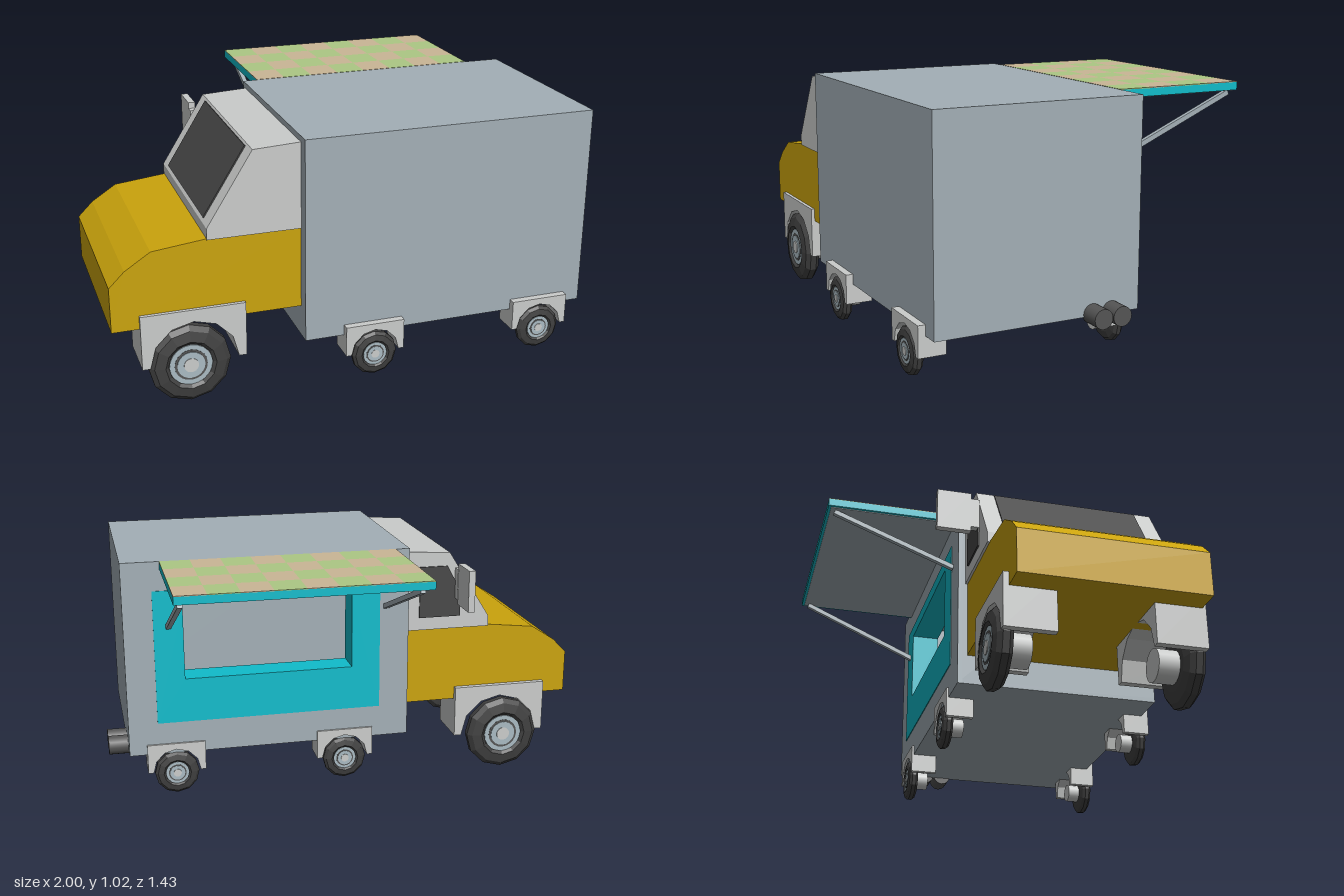
import * as THREE from 'three';

const mat = (name, color, extra = {}) => {
  const m = new THREE.MeshStandardMaterial({ color, ...extra });
  m.name = name;
  return m;
};

export function createModel() {
  const steel = mat('steel grey', 0xa3afb6);
  const light = mat('light grey', 0xcacccb);
  const yellow = mat('mustard yellow', 0xcaa30c);
  const glass = mat('dark glass', 0x484848);
  const metal = mat('dark metal', 0x555555);
  const rubber = mat('tyre rubber', 0x404040, { flatShading: true });
  const rim = mat('rim blue grey', 0xa9bac2);
  const teal = mat('teal', 0x10bccb);
  const green = mat('check green', 0xadc884);
  const tan = mat('check tan', 0xcab696);

  const model = new THREE.Group();
  model.name = 'foodTruck';

  const add = (name, geo, material, parent = model) => {
    const mesh = new THREE.Mesh(geo, material);
    mesh.name = name;
    parent.add(mesh);
    return mesh;
  };
  // Box given by its minimum and maximum corners
  const box = (name, a, b, material, parent) => {
    const g = new THREE.BoxGeometry(b[0] - a[0], b[1] - a[1], b[2] - a[2]);
    g.translate((a[0] + b[0]) / 2, (a[1] + b[1]) / 2, (a[2] + b[2]) / 2);
    return add(name, g, material, parent);
  };
  const toPoints = (pts) => pts.map((p) => new THREE.Vector2(...p));
  const rect = (x0, y0, x1, y1) => [[x0, y0], [x1, y0], [x1, y1], [x0, y1]];
  // Side profile (x, y) swept from z0 to z1, with an optional hole
  const sweep = (name, pts, z0, z1, material, hole) => {
    const shape = new THREE.Shape(toPoints(pts));
    if (hole) shape.holes.push(new THREE.Path(toPoints(hole)));
    const g = new THREE.ExtrudeGeometry(shape, { depth: z1 - z0, bevelEnabled: false });
    return add(name, g.translate(0, 0, z0), material);
  };

  // Hollow cargo body
  const [X0, X1, Y0, Y1, Z0, Z1, T] = [-0.265, 0.92, 0.205, 1.02, -0.165, 0.68, 0.02];
  box('bodyFloor', [X0, Y0, Z0 + T], [X1, Y0 + T, Z1], steel);
  box('bodyRoof', [X0, Y1 - T, Z0 + T], [X1, Y1, Z1], steel);
  box('bodyFrontWall', [X0, Y0 + T, Z0 + T], [X0 + T, Y1 - T, Z1], steel);
  box('bodyRearWall', [X1 - T, Y0 + T, Z0 + T], [X1, Y1 - T, Z1], steel);
  box('bodyClosedWall', [X0 + T, Y0 + T, Z1 - T], [X1 - T, Y1 - T, Z1], steel);
  box('innerLining', [X0 + T, Y0 + T, Z0 + T], [X0 + T + 0.005, Y1 - T, Z1 - T], light);
  const framePts = rect(-0.14, 0.34, 0.8, 0.9);
  sweep('bodyServingWall', rect(X0, Y0, X1, Y1), Z0, Z0 + T, steel, framePts);

  // Deep serving window frame
  sweep('servingFrame', framePts, Z0 - 0.003, Z0 + 0.12, teal, rect(-0.02, 0.525, 0.68, 0.845));

  // Raised awning with checked top
  const awning = new THREE.Group();
  awning.name = 'awning';
  model.add(awning);
  const [ax0, ax1, az0, az1] = [-0.205, 0.765, -0.715, -0.166];
  box('awningPanel', [ax0, 0.987, az0], [ax1, 1.018, az1], teal, awning);
  box('awningUnderside', [ax0 + 0.012, 0.984, az0 + 0.012], [ax1 - 0.012, 0.988, az1], steel, awning);
  const cw = (ax1 - ax0) / 8, cd = (az1 - az0) / 4;
  for (let i = 0; i < 8; i++) {
    for (let j = 0; j < 4; j++) {
      const x = ax0 + i * cw, z = az0 + j * cd;
      box('awningCheck', [x, 1.017, z], [x + cw, 1.021, z + cd], (i + j) % 2 ? tan : green, awning);
    }
  }
  // Awning struts
  for (const [x, y] of [[0.74, 0.75], [-0.165, 0.78]]) {
    const dy = 0.978 - y, dz = -0.52;
    const strut = add('awningStrut', new THREE.BoxGeometry(0.02, 0.02, Math.hypot(dy, dz)), steel, awning);
    strut.position.set(x, y + dy / 2, Z0 + dz / 2);
    strut.rotation.x = Math.atan2(-dy, dz);
  }

  // Bonnet and lower cab
  sweep('bonnet', [[-1, 0.33], [X0, 0.33], [X0, 0.66], [-0.62, 0.66], [-0.84, 0.635],
    [-0.94, 0.57], [-1, 0.51]], -0.125, 0.625, yellow);

  // Cabin
  sweep('cabin', [[-0.63, 0.655], [X0, 0.655], [X0, 0.997], [-0.45, 0.987], [-0.63, 0.7]],
    -0.135, 0.63, light);
  // Windscreen plate lying on the sloped face
  const slope = (t, d) => [-0.63 + 0.18 * t - 0.847 * d, 0.7 + 0.287 * t + 0.531 * d];
  sweep('windscreen', [slope(0.05, -0.002), slope(0.97, -0.002), slope(0.97, 0.005), slope(0.05, 0.005)],
    -0.06, 0.555, glass);
  sweep('sideWindow', [[-0.5, 0.71], [-0.32, 0.71], [-0.32, 0.93], [-0.44, 0.93], [-0.5, 0.82]],
    -0.141, -0.134, glass);

  // Wing mirror
  box('mirror', [-0.505, 0.77, -0.31], [-0.477, 0.945, -0.17], light);
  box('mirrorArm', [-0.505, 0.79, -0.175], [-0.475, 0.92, -0.134], light);

  // Twin exhausts
  for (const z of [0.035, -0.046]) {
    const pipe = add('exhaust', new THREE.CylinderGeometry(0.039, 0.039, 0.09, 20), metal);
    pipe.rotation.z = Math.PI / 2;
    pipe.position.set(0.955, 0.215, z);
  }

  // Wheel facing +z: tyre, stepped rim and axle stub
  const makeWheel = (r, w, stub) => {
    const g = new THREE.Group();
    g.name = 'wheel';
    const h = w / 2;
    const profile = [[0, -h], [0.6 * r, -h], [0.88 * r, -0.8 * h], [r, -0.35 * h], [r, 0.35 * h],
      [0.88 * r, 0.8 * h], [0.62 * r, h], [0.54 * r, 0.7 * h], [0, 0.7 * h]];
    add('tyre', new THREE.LatheGeometry(toPoints(profile), 12).rotateX(Math.PI / 2), rubber, g);
    const disc = (name, radius, z0, z1, material) => add(name,
      new THREE.CylinderGeometry(radius, radius, z1 - z0, 20).rotateX(Math.PI / 2)
        .translate(0, 0, (z0 + z1) / 2), material, g);
    disc('rim', 0.52 * r, 0, 0.8 * h, rim);
    disc('rimRecess', 0.4 * r, 0, 0.83 * h, metal);
    disc('hub', 0.34 * r, 0, 0.9 * h, rim);
    disc('hubCap', 0.18 * r, 0, 0.98 * h, light);
    disc('axleStub', 0.42 * r, -h - stub, -h + 0.005, light);
    return g;
  };

  // Mudguard profile with a faceted arch over the wheel
  const guard = (cx, cy, half, top, bottom, arch) => {
    const pts = [[cx - half, top], [cx - half, bottom]];
    for (let i = 0; i <= 6; i++) {
      const a = Math.PI * (1 - i / 6);
      pts.push([cx + arch * Math.cos(a), cy + arch * Math.sin(a)]);
    }
    pts.push([cx + half, bottom], [cx + half, top]);
    return pts.reverse();
  };

  // Wheels and mudguards on both sides
  const sets = [
    { name: 'front', x: -0.71, y: 0.16, r: 0.16, w: 0.078, stub: 0.085, out: [0.652, -0.166],
      pts: guard(-0.692, 0.165, 0.203, 0.385, 0.165, 0.172), guardZ: [[0.435, 0.64], [-0.148, 0.057]] },
    ...[0.012, 0.728].map((x, i) => ({
      name: i ? 'rear' : 'middle', x, y: 0.118, r: 0.092, w: 0.048, stub: 0.05, out: [0.714, -0.178],
      pts: guard(x, 0.125, 0.12, 0.248, 0.125, 0.098), guardZ: [[0.6, 0.71], [-0.174, -0.06]],
    })),
  ];
  for (const s of sets) {
    s.out.forEach((z, k) => {
      const side = k ? -1 : 1;
      const wheel = makeWheel(s.r, s.w, s.stub);
      wheel.name = s.name + 'Wheel';
      wheel.position.set(s.x, s.y, z - side * s.w / 2);
      if (k) wheel.rotation.y = Math.PI;
      model.add(wheel);
      sweep(s.name + 'Mudguard', s.pts, ...s.guardZ[k], light);
    });
  }

  return model;
}
